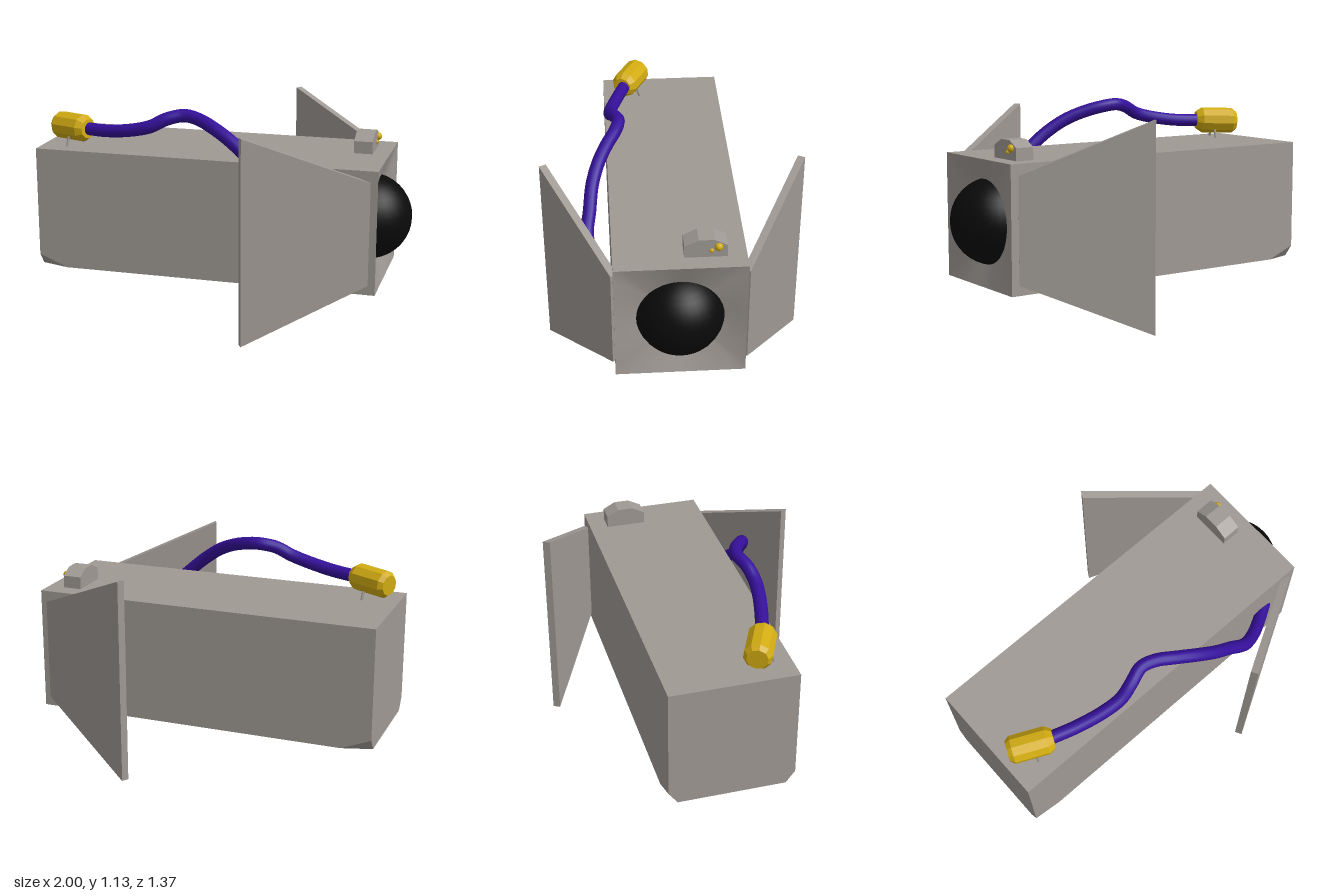
import * as THREE from 'three';
import { ConvexGeometry } from 'three/addons/geometries/ConvexGeometry.js';
import { toCreasedNormals } from 'three/addons/utils/BufferGeometryUtils.js';

const material = (name, color, extra = {}) => {
  const m = new THREE.MeshStandardMaterial({ color, ...extra });
  m.name = name;
  return m;
};

export function createModel() {
  const group = new THREE.Group();
  const grey = material('warm grey housing', 0x9f9994);
  const black = material('black lens', 0x0a0a0a);
  const purple = material('purple cable', 0x35109a);
  const yellow = material('yellow fittings', 0xd2ac12);

  const add = (name, geometry, mat, position = [0, 0, 0]) => {
    const mesh = new THREE.Mesh(geometry, mat);
    mesh.name = name;
    mesh.position.set(...position);
    group.add(mesh);
    return mesh;
  };

  const MID = 0.547, HY = 0.332, HZ = 0.333, FRONT = 0.865, DISH = 0.825;

  // Housing: long box with its two lower rear corners cut off
  const corners = [];
  for (const s of [-1, 1]) {
    for (const [x, y, z] of [
      [DISH, MID + HY, HZ], [DISH, MID - HY, HZ], [-1, MID + HY, HZ],
      [-1, 0.28, HZ], [-0.84, MID - HY, HZ], [-1, MID - HY, 0.285],
    ]) corners.push(new THREE.Vector3(x, y, z * s));
  }
  add('housing', new ConvexGeometry(corners), grey);

  // Front frame: square rim sinking to a round opening
  const N = 64;
  const square = (a, x) => {
    const c = Math.cos(a), s = Math.sin(a), k = 1 / Math.max(Math.abs(c), Math.abs(s));
    return [x, MID + HY * c * k, HZ * s * k];
  };
  const circle = (a, r, x) => [x, MID + r * Math.cos(a), r * Math.sin(a)];
  const rings = [
    (a) => square(a, DISH), (a) => square(a, FRONT),
    (a) => circle(a, 0.22, DISH),
  ];
  const pos = [];
  for (let r = 0; r < rings.length - 1; r++) {
    for (let i = 0; i < N; i++) {
      const a = (i / N) * Math.PI * 2, b = ((i + 1) / N) * Math.PI * 2;
      const p = rings[r](a), q = rings[r](b), t = rings[r + 1](b), u = rings[r + 1](a);
      pos.push(...p, ...q, ...t, ...p, ...t, ...u);
    }
  }
  const frame = new THREE.BufferGeometry();
  frame.setAttribute('position', new THREE.Float32BufferAttribute(pos, 3));
  add('frontFrame', toCreasedNormals(frame, 0.8), grey);

  // Lens
  add('lens', new THREE.SphereGeometry(0.23, 32, 20), black, [0.77, MID, 0]);

  // Side doors: tapered plates swung back from the front edge
  const outline = new THREE.Shape([
    new THREE.Vector2(0, -0.545), new THREE.Vector2(0.68, -0.275),
    new THREE.Vector2(0.68, 0.275), new THREE.Vector2(0, 0.545),
  ]);
  const doorGeometry = new THREE.ExtrudeGeometry(outline, { depth: 0.04, bevelEnabled: false });
  doorGeometry.rotateY(Math.PI / 6).translate(0.22, 0, 0.65);
  add('leftDoor', doorGeometry, grey, [0, 0.545, 0]);
  add('rightDoor', doorGeometry, grey, [0, 0.545, 0]).rotation.x = Math.PI;

  // Small switch block with a sloped top
  const block = new THREE.Shape([
    new THREE.Vector2(0.02, 0.87), new THREE.Vector2(0.235, 0.87), new THREE.Vector2(0.235, 0.945),
    new THREE.Vector2(0.17, 0.98), new THREE.Vector2(0.09, 0.98), new THREE.Vector2(0.02, 0.945),
  ]);
  const blockGeometry = new THREE.ExtrudeGeometry(block, { depth: 0.1, bevelEnabled: false });
  blockGeometry.rotateY(Math.PI / 2);
  add('switchBlock', blockGeometry, grey, [0.675, 0, 0]);
  add('largeKnob', new THREE.SphereGeometry(0.021, 16, 12), yellow, [0.777, 0.94, -0.19]);
  add('smallKnob', new THREE.SphereGeometry(0.012, 12, 8), yellow, [0.775, 0.918, -0.155]);

  // Faceted plug with chamfered ends, lying along the cable
  const profile = [[0, -0.12], [0.055, -0.12], [0.074, -0.095], [0.074, 0.085], [0.052, 0.12], [0, 0.12]]
    .map(([x, y]) => new THREE.Vector2(x, y));
  const plugGeometry = toCreasedNormals(new THREE.LatheGeometry(profile, 10), 0.2);
  const plug = add('plug', plugGeometry, yellow, [-0.843, 0.977, 0.175]);
  plug.quaternion.setFromUnitVectors(
    new THREE.Vector3(0, 1, 0), new THREE.Vector3(0.9, 0.03, 0.43).normalize());

  // Thin pins carrying the plug
  for (const [x0, z0, x1, z1] of [[-0.855, 0.245, -0.85, 0.225], [-0.805, 0.12, -0.81, 0.145]]) {
    const pin = new THREE.LineCurve3(
      new THREE.Vector3(x0, 0.87, z0), new THREE.Vector3(x1, 0.94, z1));
    add('plugPin', new THREE.TubeGeometry(pin, 1, 0.007, 8), grey);
  }

  // Cable: rises from the plug, arches over the edge and enters the side
  const path = [
    [-0.76, 0.978, 0.21], [-0.6, 0.985, 0.262], [-0.45, 1.008, 0.298], [-0.35, 1.035, 0.308],
    [-0.27, 1.075, 0.292], [-0.18, 1.094, 0.265], [-0.1, 1.084, 0.283], [0, 1.053, 0.335],
    [0.1, 1.005, 0.383], [0.2, 0.935, 0.418], [0.3, 0.85, 0.435], [0.4, 0.76, 0.452],
    [0.5, 0.68, 0.422], [0.6, 0.62, 0.37], [0.7, 0.59, 0.31],
  ].map((p) => new THREE.Vector3(...p));
  add('cable', new THREE.TubeGeometry(new THREE.CatmullRomCurve3(path), 90, 0.035, 14), purple);

  return group;
}
